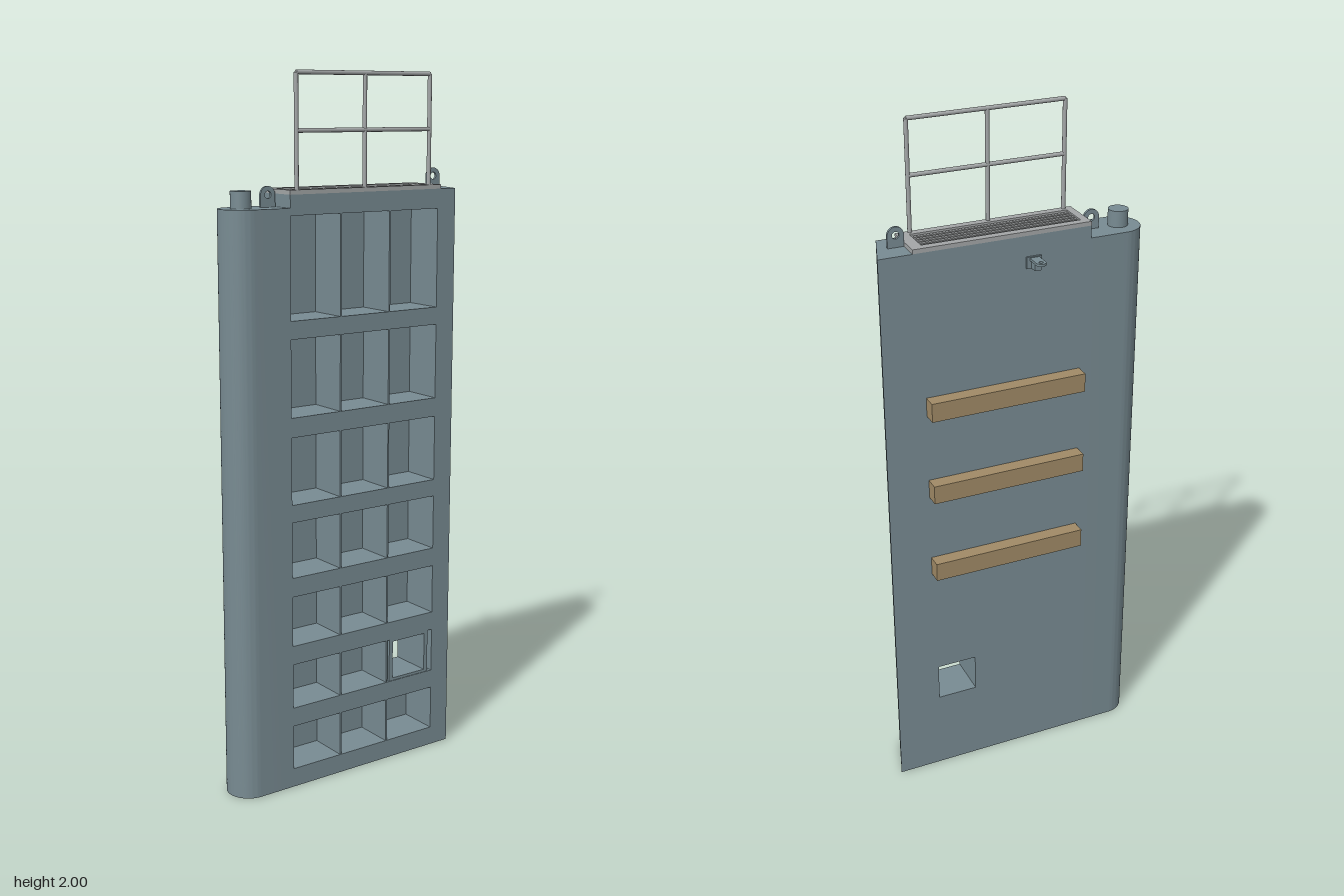
import * as THREE from 'three';
import { toCreasedNormals } from 'three/addons/utils/BufferGeometryUtils.js';

const mat = (name, color) => {
  const m = new THREE.MeshStandardMaterial({ color });
  m.name = name;
  return m;
};

export function createModel() {
  const root = new THREE.Group();
  root.name = 'lockGate';
  const steel = mat('paintedSteel', 0x788b92);
  const grey = mat('galvanisedSteel', 0xa3a6a7);
  const timber = mat('timber', 0xa08a66);

  const add = (name, geo, material, parent = root) => {
    const m = new THREE.Mesh(geo, material);
    m.name = name;
    parent.add(m);
    return m;
  };
  // Box given by its limits
  const box = (name, material, x0, x1, y0, y1, z0, z1, parent) => {
    const g = new THREE.BoxGeometry(x1 - x0, y1 - y0, z1 - z0);
    g.translate((x0 + x1) / 2, (y0 + y1) / 2, (z0 + z1) / 2);
    return add(name, g, material, parent);
  };
  const cyl = (name, material, r, h, x, y, z, sides = 24) => {
    const m = add(name, new THREE.CylinderGeometry(r, r, h, sides), material);
    m.position.set(x, y, z);
    return m;
  };
  const extrude = (shape, depth) =>
    toCreasedNormals(new THREE.ExtrudeGeometry(shape, { depth, bevelEnabled: false, curveSegments: 20 }), 0.5);
  const rectPath = (Type, x0, x1, y0, y1) => {
    const p = new Type();
    p.moveTo(x0, y0); p.lineTo(x1, y0); p.lineTo(x1, y1); p.lineTo(x0, y1); p.closePath();
    return p;
  };

  const zBack = -0.035, zFront = 0.095, zMid = 0.03;
  const xL = -0.215, xR = 0.285, top = 1.68;

  // Rounded hinge post and mitred meeting post, drawn in plan
  const heel = new THREE.Shape();
  heel.moveTo(xL, -zFront);
  heel.lineTo(xL, -zBack);
  heel.lineTo(-0.325, -zBack);
  heel.absarc(-0.325, -zMid, 0.065, Math.PI / 2, Math.PI * 1.5, false);
  heel.closePath();
  add('hingePost', extrude(heel, 1.645).rotateX(-Math.PI / 2), steel);
  const mitre = new THREE.Shape();
  mitre.moveTo(xR, -zFront);
  mitre.lineTo(0.348, -zFront);
  mitre.lineTo(0.39, -zBack);
  mitre.lineTo(xR, -zBack);
  mitre.closePath();
  add('meetingPost', extrude(mitre, top).rotateX(-Math.PI / 2), steel);

  // Back skin with the sluice opening
  const hole = [0.14, 0.258, 0.248, 0.362];
  const skin = rectPath(THREE.Shape, xL, xR, 0, top);
  skin.holes.push(rectPath(THREE.Path, ...hole));
  add('skinPlate', extrude(skin, 0.01).translate(0, 0, zBack), steel);

  // Sluice duct running through its pocket
  const duct = rectPath(THREE.Shape, 0.127, 0.271, 0.238, 0.372);
  duct.holes.push(rectPath(THREE.Path, ...hole));
  add('sluiceDuct', extrude(duct, 0.119).translate(0, 0, -0.026), steel);

  // Horizontal beams between the pocket rows
  const rows = [[0.055, 0.185], [0.24, 0.37], [0.425, 0.57], [0.625, 0.785],
    [0.835, 1.025], [1.08, 1.295], [1.345, 1.625]];
  for (let i = 0; i < rows.length - 1; i++)
    box('beam', steel, xL, xR, rows[i][1], rows[i + 1][0], -0.025, zFront);
  box('bottomWeb', steel, xL, xR, 0.045, 0.055, -0.025, zFront);
  box('bottomFlange', steel, xL, xR, 0, 0.045, 0.085, zFront);
  box('topBeam', steel, xL, xR, 1.625, 1.655, -0.025, zFront);
  box('topFlange', steel, xL, xR, 1.655, top, 0.085, zFront);
  box('topEndPlate', steel, xL, xL + 0.01, 1.645, top, -0.025, 0.085);

  // Vertical stiffeners
  for (const x of [-0.05, 0.117])
    box('stiffener', steel, x - 0.0025, x + 0.0025, 0, 1.63, -0.025, 0.094);

  // Walkway: rim, sunken floor, grating bars
  const rim = rectPath(THREE.Shape, xL, 0.295, -zFront, -zBack);
  rim.holes.push(rectPath(THREE.Path, -0.193, 0.263, -0.072, 0.012));
  add('walkwayRim', extrude(rim, 0.012).rotateX(-Math.PI / 2).translate(0, top, 0), grey);
  box('walkwayFloor', grey, -0.205, xR, 1.655, 1.66, -0.025, 0.085);
  for (let i = 0; i < 5; i++) {
    const z = -0.003 + i * 0.0165;
    box('gratingBar', grey, -0.193, 0.263, 1.66, 1.688, z - 0.0045, z + 0.0045);
  }
  for (const x of [-0.05, 0.117])
    box('gratingCrossBar', grey, x - 0.003, x + 0.003, 1.66, 1.686, -0.012, 0.072);

  // Handrail
  const zRail = 0.088;
  for (const x of [-0.19, 0.033, 0.256])
    cyl('railPost', grey, 0.006, 0.306, x, 1.841, zRail, 12);
  for (const y of [1.845, 1.994])
    cyl('rail', grey, 0.006, 0.446, 0.033, y, zRail, 12).rotation.z = Math.PI / 2;

  // Eye plate with rounded end, standing along +y
  const eyeGeometry = (w, h, r) => {
    const s = new THREE.Shape();
    s.moveTo(-w / 2, 0);
    s.lineTo(w / 2, 0);
    s.lineTo(w / 2, h - w / 2);
    s.absarc(0, h - w / 2, w / 2, 0, Math.PI, false);
    s.closePath();
    const p = new THREE.Path();
    p.absarc(0, h - w / 2, r, 0, Math.PI * 2, true);
    s.holes.push(p);
    return extrude(s, 0.007).translate(0, 0, -0.0035);
  };
  for (const [x, y] of [[-0.245, 1.645], [0.317, top]])
    add('liftingEye', eyeGeometry(0.046, 0.056, 0.01), steel).position.set(x, y, zMid);

  // Hinge pin on top and bearing below
  cyl('hingePin', steel, 0.028, 0.048, -0.328, 1.667, zMid, 32);
  cyl('pivotBearing', timber, 0.02, 0.006, -0.328, 0.002, zMid);

  // Anchor bracket on the back
  const bracket = new THREE.Group();
  bracket.name = 'anchorBracket';
  root.add(bracket);
  const eye = add('bracketEye', eyeGeometry(0.028, 0.06, 0.006), steel, bracket);
  eye.rotation.x = -Math.PI / 2;
  eye.position.set(-0.045, 1.616, zBack);
  box('bracketPlate', steel, -0.067, -0.023, 1.59, 1.622, -0.041, zBack, bracket);
  box('bracketGusset', steel, -0.054, -0.036, 1.59, 1.613, -0.064, zBack, bracket);

  // Timber fenders
  for (const y of [0.70, 0.955, 1.21])
    box('fender', timber, -0.187, 0.27, y, y + 0.055, -0.076, zBack);

  return root;
}
